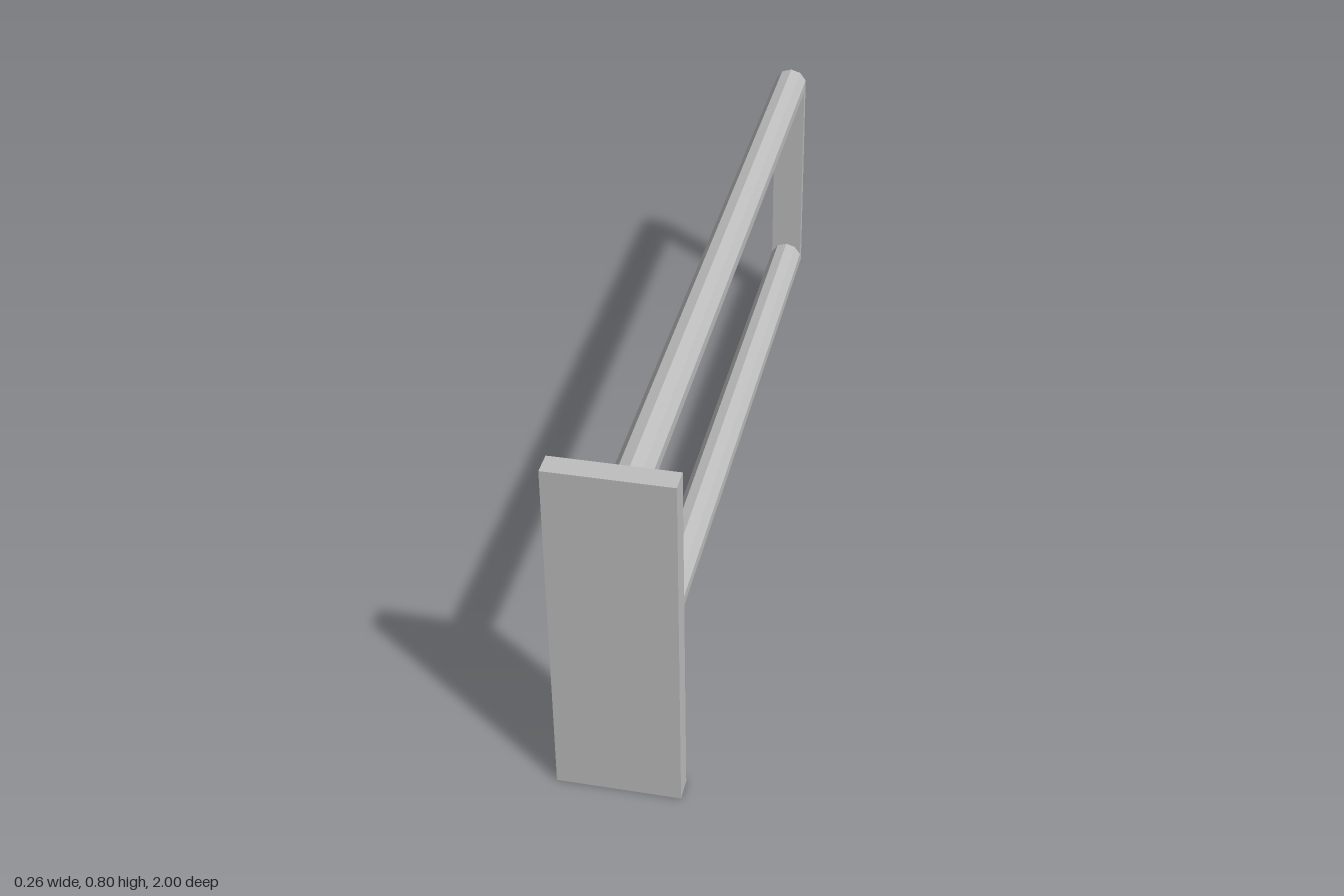
import * as THREE from 'three';

const SIDES = 10, RADIUS = 0.042;
const RAIL_TOP = 0.665, RAIL_LOW = 0.137;
const PLATE_BACK = 0.95, END_FRONT = -0.98, END_BACK = -1;

export function createModel() {
  const model = new THREE.Group();
  model.name = 'wallSupportRail';
  const metal = new THREE.MeshStandardMaterial({ color: 0xbfbfbf });
  metal.name = 'grey metal';

  const add = (name, geometry, x, y, z) => {
    // Unshared vertices give every facet its own normal
    const flat = geometry.index ? geometry.toNonIndexed() : geometry;
    flat.computeVertexNormals();
    const mesh = new THREE.Mesh(flat, metal);
    mesh.name = name;
    mesh.position.set(x, y, z);
    model.add(mesh);
  };

  // Mounting plate
  add('mountingPlate', new THREE.BoxGeometry(0.264, 0.797, 0.05), 0, 0.3985, 0.975);

  // Two parallel ten-sided rails
  const length = PLATE_BACK - END_FRONT;
  for (const [name, y] of [['upperRail', RAIL_TOP], ['lowerRail', RAIL_LOW]]) {
    const rail = new THREE.CylinderGeometry(RADIUS, RADIUS, length, SIDES).rotateX(Math.PI / 2);
    add(name, rail, 0, y, (PLATE_BACK + END_FRONT) / 2);
  }

  // Flat end strap, rounded to match the rail outlines
  const points = [];
  for (const [centre, start] of [[RAIL_TOP, 0], [RAIL_LOW, Math.PI]]) {
    for (let i = 0; i < SIDES / 2; i++) {
      const a = start + ((i + 0.5) * 2 * Math.PI) / SIDES;
      points.push(new THREE.Vector2(RADIUS * Math.cos(a), centre + RADIUS * Math.sin(a)));
    }
  }
  const strap = new THREE.ExtrudeGeometry(new THREE.Shape(points), {
    depth: END_FRONT - END_BACK, bevelEnabled: false,
  });
  add('endStrap', strap, 0, 0, END_BACK);

  return model;
}
